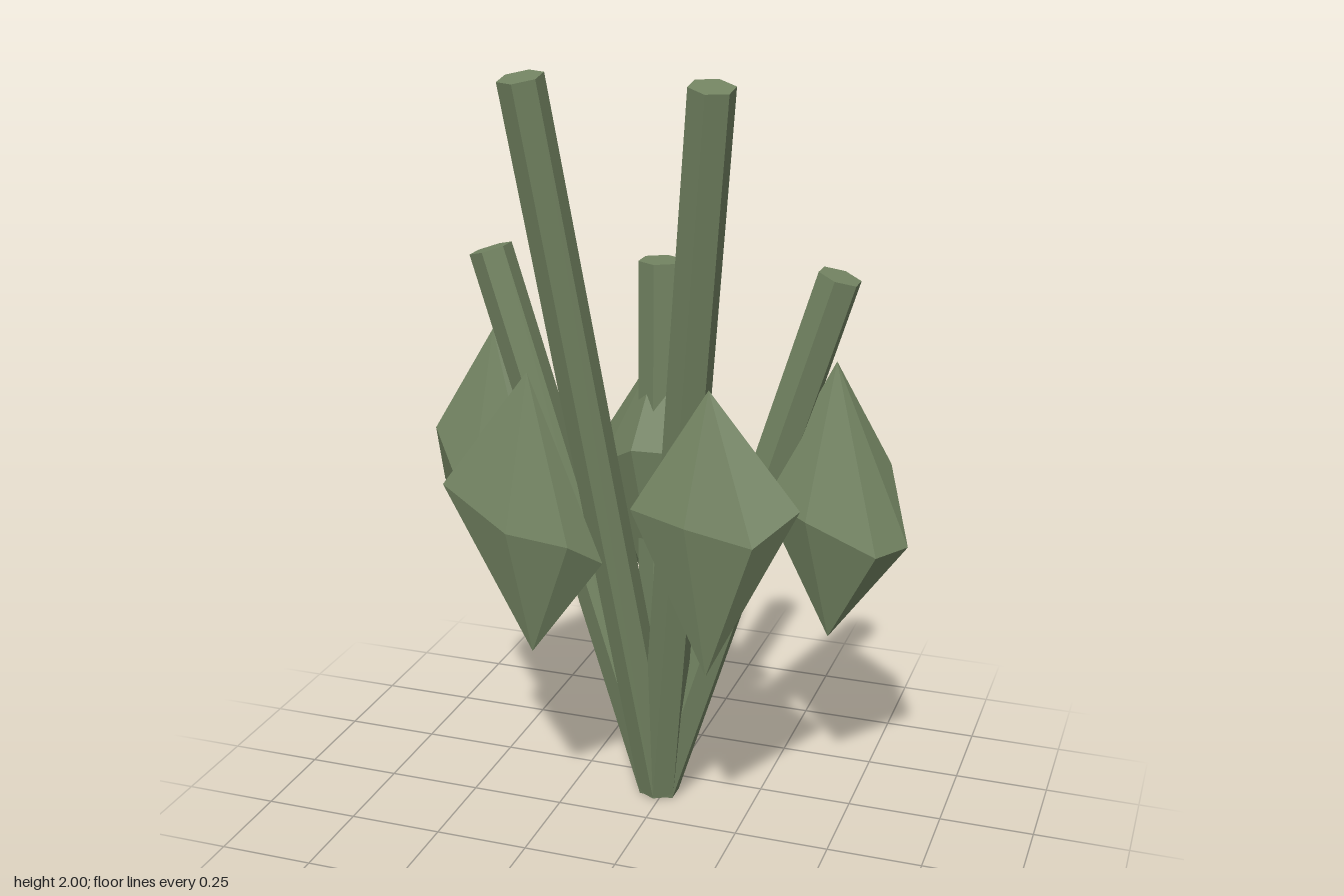
import * as THREE from 'three';

const BASE = new THREE.Vector3(-0.013, 0.012, -0.15);

// Six-sided straight stalk from the shared root to a tip
function stalkGeometry(tip) {
  const axis = tip.clone().sub(BASE);
  const geo = new THREE.CylinderGeometry(0.057, 0.057, axis.length(), 6).toNonIndexed();
  geo.computeVertexNormals();
  geo.applyQuaternion(new THREE.Quaternion().setFromUnitVectors(
    new THREE.Vector3(0, 1, 0), axis.clone().normalize()));
  const mid = BASE.clone().add(tip).multiplyScalar(0.5);
  return geo.translate(mid.x, mid.y, mid.z);
}

// Faceted leaf pod: an uneven seven-point ring between two apexes
function podGeometry(x, z, ring) {
  const top = [x, 1.28, z], bottom = [x, 0.535, z], pos = [];
  ring.forEach((p, i) => {
    const next = ring[(i + 1) % ring.length];
    pos.push(...top, ...next, ...p, ...bottom, ...p, ...next);
  });
  const geo = new THREE.BufferGeometry();
  geo.setAttribute('position', new THREE.Float32BufferAttribute(pos, 3));
  geo.computeVertexNormals();
  return geo;
}

// Each plant stem: tip of the stalk and the ring of its pod (from +x towards +z)
const STEMS = [
  { name: 'frontRight', tip: [-0.245, 1.988, 0.18], ring: [
    [-0.055, 0.80, 0.175], [-0.12, 0.86, 0.245], [-0.28, 0.88, 0.255], [-0.458, 0.98, 0.225],
    [-0.45, 0.95, 0.13], [-0.285, 0.90, 0.08], [-0.15, 0.92, 0.105]] },
  { name: 'frontLeft', tip: [0.217, 1.988, 0.18], ring: [
    [0.445, 1.0, 0.175], [0.35, 0.92, 0.25], [0.18, 0.95, 0.25], [0.032, 0.97, 0.215],
    [0.037, 0.93, 0.135], [0.225, 0.88, 0.087], [0.36, 0.85, 0.097]] },
  { name: 'backRight', tip: [-0.475, 1.495, -0.15], ring: [
    [-0.27, 0.92, -0.15], [-0.35, 0.85, -0.083], [-0.52, 0.79, -0.06], [-0.635, 1.0, -0.12],
    [-0.647, 0.83, -0.19], [-0.525, 0.88, -0.262], [-0.33, 0.90, -0.235]] },
  { name: 'backLeft', tip: [0.447, 1.495, -0.15], ring: [
    [0.645, 0.81, -0.152], [0.58, 0.80, -0.075], [0.40, 0.88, -0.06], [0.27, 0.92, -0.11],
    [0.28, 0.90, -0.19], [0.41, 0.88, -0.235], [0.578, 1.0, -0.23]] },
  { name: 'backCentre', tip: [-0.013, 1.5, -0.15], ring: [
    [0.203, 0.95, -0.152], [0.09, 1.02, -0.066], [-0.06, 1.02, -0.055], [-0.17, 0.95, -0.13],
    [-0.227, 0.945, -0.205], [-0.067, 0.85, -0.26], [0.115, 0.95, -0.23]] },
];

export function createModel() {
  const model = new THREE.Group();
  model.name = 'stalkPlant';
  const green = new THREE.MeshStandardMaterial({ color: 0x738462 });
  green.name = 'mossGreen';

  for (const { name, tip, ring } of STEMS) {
    const stem = new THREE.Group();
    stem.name = name + 'Stem';
    const stalk = new THREE.Mesh(stalkGeometry(new THREE.Vector3(...tip)), green);
    stalk.name = name + 'Stalk';
    const pod = new THREE.Mesh(podGeometry(tip[0], tip[2], ring), green);
    pod.name = name + 'Leaf';
    stem.add(stalk, pod);
    model.add(stem);
  }
  return model;
}
